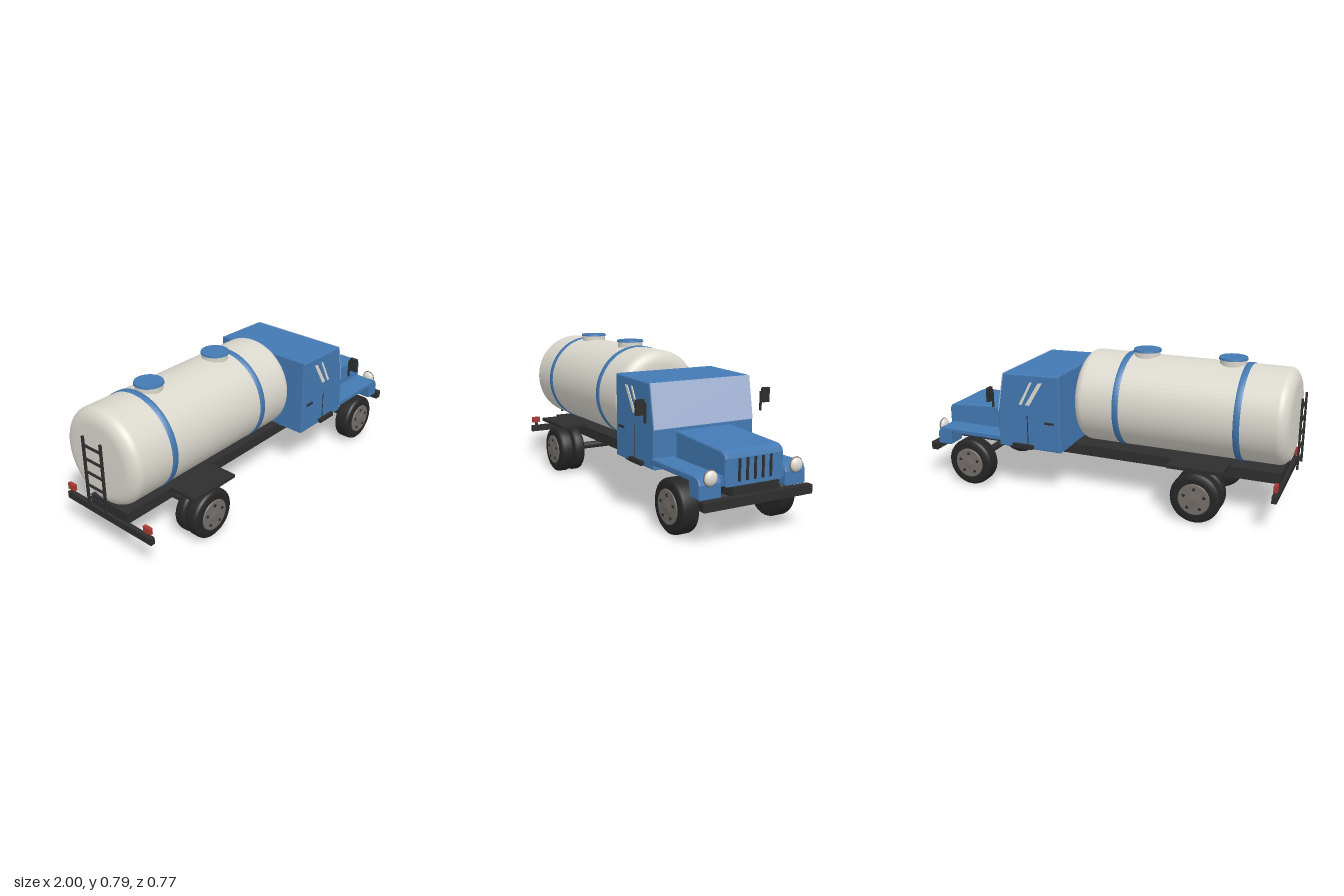
import * as THREE from 'three';

const mat = (name, color) => Object.assign(new THREE.MeshStandardMaterial({ color }), { name });
const blue = mat('bluePaint', 0x4379b2);
const cream = mat('tankCream', 0xdad7cd);
const dark = mat('darkMetal', 0x2e2e2e);
const rubber = mat('rubber', 0x262626);
const steel = mat('wheelSteel', 0x746e68);
const glass = mat('paleGlass', 0xa8b9da);
const lamp = mat('headlampWhite', 0xe0ddd4);
const red = mat('tailRed', 0xa83a34);

const vec = (pts) => pts.map(([a, b]) => new THREE.Vector2(a, b));

function add(parent, name, geo, material, x = 0, y = 0, z = 0) {
  const m = new THREE.Mesh(geo, material);
  m.name = name;
  m.position.set(x, y, z);
  parent.add(m);
  return m;
}

// Box given by its limits on each axis
function box(parent, name, material, [x0, x1], [y0, y1], [z0, z1]) {
  return add(parent, name, new THREE.BoxGeometry(x1 - x0, y1 - y0, Math.abs(z1 - z0)), material,
    (x0 + x1) / 2, (y0 + y1) / 2, (z0 + z1) / 2);
}

// Side profile in x and y, extruded across z with softened edges
function slab(parent, name, material, pts, z0, z1, bevel = 0) {
  const geo = new THREE.ExtrudeGeometry(new THREE.Shape(vec(pts)), {
    depth: z1 - z0 - 2 * bevel, bevelEnabled: bevel > 0,
    bevelSize: bevel, bevelOffset: -bevel, bevelThickness: bevel, bevelSegments: 3,
  });
  return add(parent, name, geo, material, 0, 0, z0 + bevel);
}

// Wheel facing +z, with rim, hub cap and wheel bolts
function wheel(parent, name, x, z0, z1, side, withHub) {
  const g = new THREE.Group();
  const h = (z1 - z0) / 2, r = 0.13;
  g.name = name;
  g.position.set(x, 0.132, side * (z0 + z1) / 2);
  if (side < 0) g.rotation.y = Math.PI;
  const tyre = new THREE.LatheGeometry(vec([[0, -h], [0.1, -h], [0.118, -h + 0.003], [0.127, -h + 0.01],
    [r, -h + 0.02], [r, h - 0.02], [0.127, h - 0.01], [0.118, h - 0.003], [0.1, h], [0, h]]), 40);
  add(g, 'tyre', tyre.rotateX(Math.PI / 2), rubber);
  if (withHub) {
    const disc = new THREE.LatheGeometry(vec([[0.082, h - 0.005], [0.082, h + 0.003], [0.075, h + 0.005],
      [0.04, h + 0.003], [0.03, h + 0.007], [0, h + 0.009]]), 32);
    add(g, 'rim', disc.rotateX(Math.PI / 2), steel);
    for (let i = 0; i < 5; i++) {
      const a = Math.PI / 2 + i * Math.PI * 2 / 5;
      const bolt = new THREE.CylinderGeometry(0.008, 0.008, 0.006, 10).rotateX(Math.PI / 2);
      add(g, 'wheelBolt', bolt, dark, Math.cos(a) * 0.055, Math.sin(a) * 0.055, h + 0.005);
    }
  }
  parent.add(g);
}

export function createModel() {
  const truck = new THREE.Group();
  truck.name = 'tankTruck';

  // Tank with rounded ends, lying along x
  const half = 0.5625, R = 0.245, profile = [[0, -half], [0.1, -half + 0.002]];
  for (let i = 0; i <= 8; i++) {
    const a = i / 8 * Math.PI / 2;
    profile.push([0.17 + 0.075 * Math.sin(a), -half + 0.004 + 0.056 * (1 - Math.cos(a))]);
  }
  const full = profile.concat(profile.slice().reverse().map(([r, y]) => [r, -y]));
  const tankGeo = new THREE.LatheGeometry(vec(full), 64).rotateZ(-Math.PI / 2);
  add(truck, 'tank', tankGeo, cream, -0.4075, 0.515);
  for (const x of [-0.72, -0.095]) {
    const band = new THREE.LatheGeometry(vec([[R - 0.01, -0.016], [R + 0.004, -0.016], [R + 0.004, 0.016],
      [R - 0.01, 0.016]]), 64).rotateZ(-Math.PI / 2);
    add(truck, 'tankBand', band, blue, x, 0.515);
  }

  // Filler hatches
  for (const x of [-0.635, -0.18]) {
    add(truck, 'hatchNeck', new THREE.CylinderGeometry(0.067, 0.067, 0.05, 32), cream, x, 0.756);
    add(truck, 'hatchLid', new THREE.CylinderGeometry(0.071, 0.073, 0.01, 32), blue, x, 0.785);
  }

  // Chassis and bumpers
  box(truck, 'chassis', dark, [-0.93, 0.56], [0.2, 0.257], [-0.128, 0.128]);
  box(truck, 'rearBumper', dark, [-0.945, -0.92], [0.167, 0.203], [-0.295, 0.295]);
  slab(truck, 'frontBumper', dark, [[0.96, 0.17], [0.997, 0.17], [0.997, 0.213], [0.96, 0.213]], -0.3, 0.3, 0.005);
  box(truck, 'bumperMount', dark, [0.55, 0.965], [0.205, 0.25], [-0.128, 0.128]);

  // Rear ladder
  for (const z of [-0.06, 0.06]) box(truck, 'ladderRail', dark, [-1, -0.99], [0.265, 0.63], [z - 0.006, z + 0.006]);
  for (let i = 0; i < 5; i++) {
    const y = 0.305 + i * 0.07;
    box(truck, 'ladderRung', dark, [-0.999, -0.991], [y - 0.005, y + 0.005], [-0.06, 0.06]);
  }

  // Cab with raked windscreen
  slab(truck, 'cab', blue, [[0.195, 0.253], [0.56, 0.253], [0.56, 0.44], [0.522, 0.657], [0.51, 0.66], [0.195, 0.668]],
    -0.287, 0.287, 0.008);
  slab(truck, 'windscreen', glass, [[0.556, 0.445], [0.563, 0.445], [0.526, 0.658], [0.519, 0.658]], -0.284, 0.284);

  // Bonnet and grille
  slab(truck, 'bonnet', blue, [[0.55, 0.25], [0.953, 0.25], [0.953, 0.375], [0.945, 0.395], [0.92, 0.408], [0.55, 0.43]],
    -0.16, 0.16, 0.01);
  for (let i = -2; i <= 2; i++) {
    box(truck, 'grilleSlot', dark, [0.95, 0.958], [0.27, 0.372], [i * 0.043 - 0.006, i * 0.043 + 0.006]);
  }

  // Parts repeated on both sides
  for (const s of [1, -1]) {
    const span = (a, b) => (s > 0 ? [a, b] : [-b, -a]);

    // Front fender with drop at the nose
    slab(truck, 'frontFender', blue, [[0.55, 0.28], [0.55, 0.31], [0.91, 0.31], [0.938, 0.3], [0.95, 0.275],
      [0.95, 0.21], [0.875, 0.21], [0.865, 0.28]], ...span(0.175, 0.293), 0.007);
    box(truck, 'fenderInner', blue, [0.55, 0.94], [0.255, 0.3], span(0.15, 0.18));

    // Headlamp
    const bulb = add(truck, 'headlamp', new THREE.SphereGeometry(0.035, 24, 16), lamp, 0.949, 0.303, s * 0.235);
    bulb.scale.x = 0.6;
    add(truck, 'headlampRim', new THREE.TorusGeometry(0.034, 0.004, 8, 32).rotateY(Math.PI / 2), steel,
      0.95, 0.303, s * 0.235);

    // Door seam, handle, step and window glints
    box(truck, 'doorSeam', dark, [0.383, 0.387], [0.257, 0.44], span(0.284, 0.289));
    box(truck, 'doorHandle', dark, [0.23, 0.28], [0.406, 0.416], span(0.28, 0.294));
    box(truck, 'cabStep', dark, [0.352, 0.472], [0.258, 0.28], span(0.24, 0.305));
    slab(truck, 'windowGlint', lamp, [[0.292, 0.625], [0.37, 0.497], [0.395, 0.497], [0.315, 0.625]],
      ...span(0.284, 0.29));
    slab(truck, 'windowGlint', lamp, [[0.35, 0.625], [0.415, 0.497], [0.432, 0.497], [0.363, 0.625]],
      ...span(0.284, 0.29));

    // Wing mirror
    box(truck, 'mirrorArm', dark, [0.556, 0.566], [0.482, 0.578], span(0.328, 0.336));
    slab(truck, 'mirror', dark, [[0.554, 0.522], [0.57, 0.522], [0.57, 0.596], [0.554, 0.596]],
      ...span(0.338, 0.383), 0.003);

    // Rear mudguard and tail light
    box(truck, 'mudguard', dark, [-0.685, -0.4], [0.28, 0.297], span(0.165, 0.324));
    box(truck, 'tailLight', red, [-0.943, -0.925], [0.222, 0.255], span(0.245, 0.29));
    box(truck, 'tailLightPost', dark, [-0.933, -0.925], [0.2, 0.225], span(0.26, 0.275));

    // Single front wheel, double rear wheels
    wheel(truck, 'frontWheel', 0.74, 0.225, 0.318, s, true);
    wheel(truck, 'rearInnerWheel', -0.545, 0.168, 0.235, s, false);
    wheel(truck, 'rearOuterWheel', -0.545, 0.238, 0.316, s, true);
  }

  // Axles
  for (const x of [0.74, -0.545]) {
    add(truck, 'axle', new THREE.CylinderGeometry(0.02, 0.02, 0.46, 16).rotateX(Math.PI / 2), dark, x, 0.132);
  }
  return truck;
}
